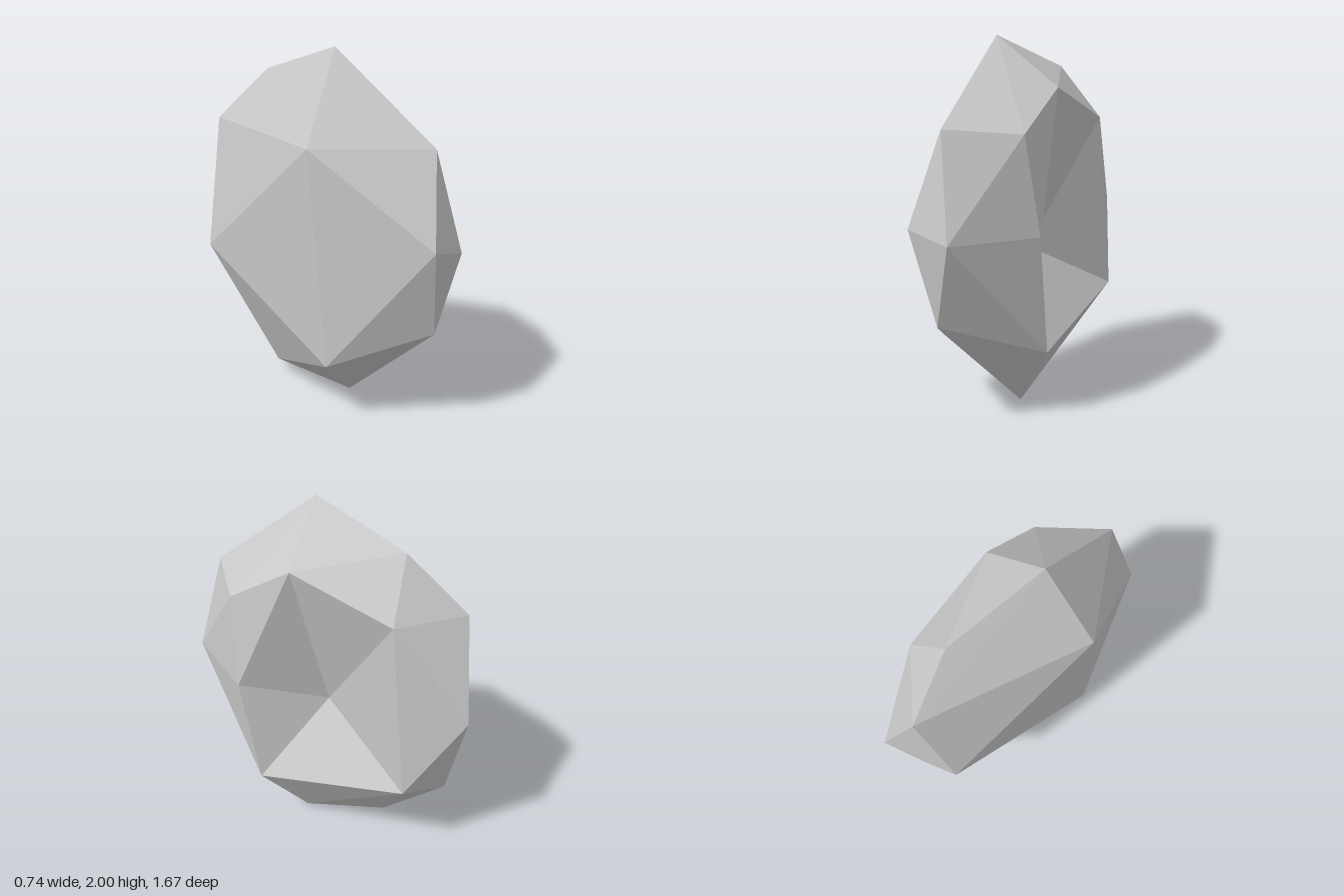
import * as THREE from 'three';

// Corner points of the faceted boulder
const corners = {
  // crown
  A: [-0.07, 2.0, 0.15], B: [0, 1.84, -0.4], D: [0.28, 1.73, 0.1],
  // upper ring
  C: [0.01, 1.54, 0.73], G: [0.305, 1.51, 0.455], E: [0.23, 1.55, -0.455],
  F: [-0.09, 1.54, -0.715], R: [-0.37, 1.53, 0.22],
  // middle ring, with J sunk into the side as a dent
  H: [0.12, 1.0, 0.835], U: [-0.12, 1.06, 0.835], I: [0.365, 1.0, 0.4],
  J: [0.04, 0.85, 0.015], K: [0.09, 1.02, -0.835], T: [-0.26, 0.81, -0.65],
  // lower ring
  L: [0, 0.57, 0.77], M: [0.345, 0.37, 0.3], N: [0.25, 0.55, -0.565],
  O: [0, 0.47, -0.705], S: [-0.335, 0.36, 0.32],
  // base
  P: [0.08, 0, 0.15], Q: [-0.04, 0.085, -0.315],
};

// Facets as fans: the first corner is the hub, the rest run around it
const fans = [
  'JDIMNED',  // side dent
  'ADGCRFBD', // crown
  'HGCULMIG', // front
  'TKFRSQOK', // flat back side
  'PMNQSLM',  // underside
  'EDBFKN', 'OKNQ', 'UCRSL', 'GDI',
];

function facetGeometry() {
  const inside = new THREE.Vector3(-0.15, 1, 0);
  const positions = [];
  for (const fan of fans) {
    const pts = [...fan].map((k) => new THREE.Vector3(...corners[k]));
    for (let i = 1; i < pts.length - 1; i++) {
      let [a, b, c] = [pts[0], pts[i], pts[i + 1]];
      // turn each facet to face away from the core
      const normal = new THREE.Triangle(a, b, c).getNormal(new THREE.Vector3());
      if (normal.dot(a.clone().sub(inside)) < 0) [b, c] = [c, b];
      for (const p of [a, b, c]) positions.push(p.x, p.y, p.z);
    }
  }
  const geometry = new THREE.BufferGeometry();
  geometry.setAttribute('position', new THREE.Float32BufferAttribute(positions, 3));
  geometry.computeVertexNormals(); // unshared corners give flat facets
  return geometry;
}

export function createModel() {
  const stone = new THREE.MeshStandardMaterial({ color: 0xc8c8c8 });
  stone.name = 'stoneGrey';

  const boulder = new THREE.Mesh(facetGeometry(), stone);
  boulder.name = 'boulder';

  const model = new THREE.Group();
  model.name = 'rock';
  model.add(boulder);
  return model;
}
